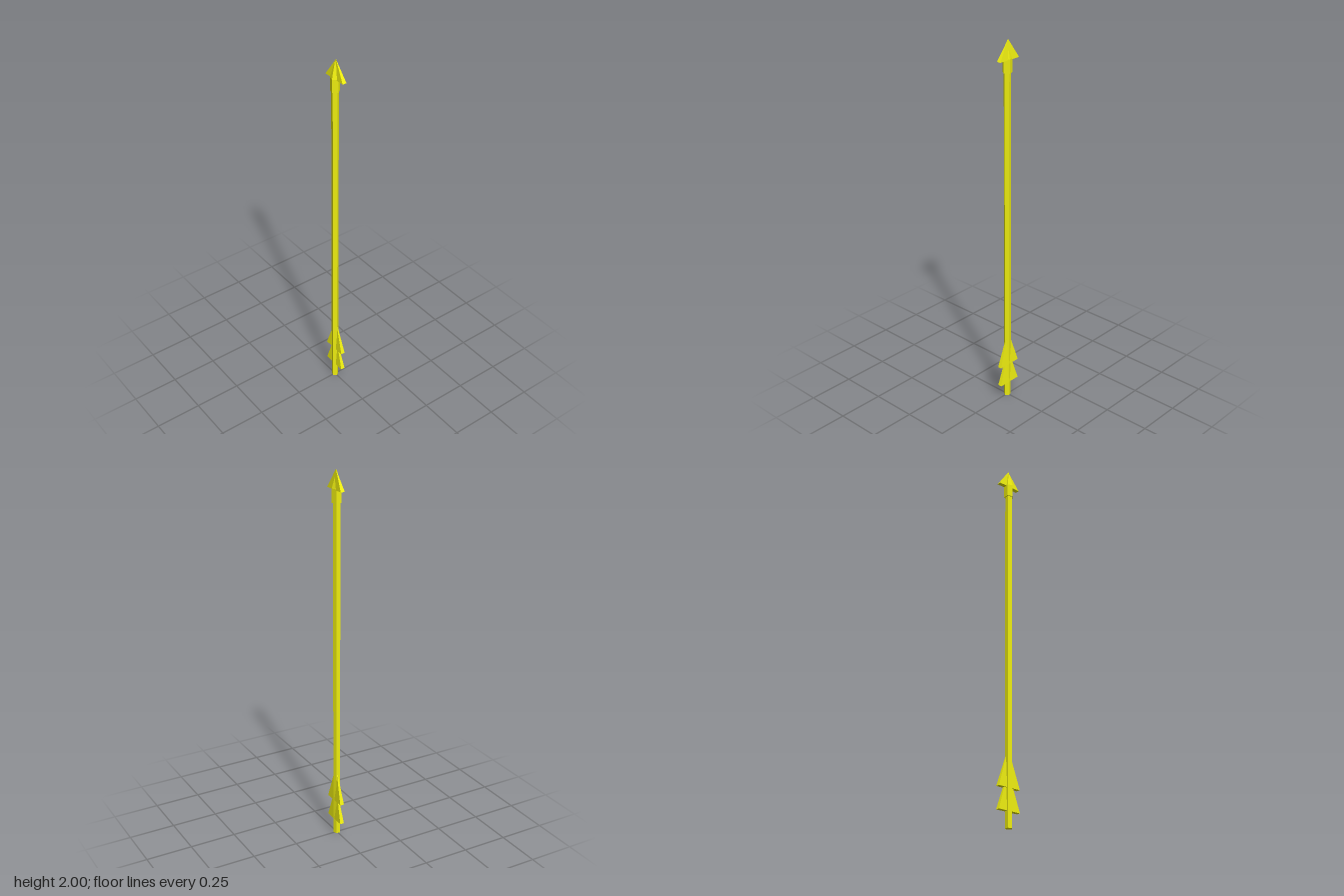
import * as THREE from 'three';

export function createModel() {
  const arrow = new THREE.Group();
  arrow.name = 'arrow';
  const yellow = new THREE.MeshStandardMaterial({ color: 0xeeee10, flatShading: true });

  const add = (name, geometry, y, z = 0) => {
    const mesh = new THREE.Mesh(geometry, yellow);
    mesh.name = name;
    mesh.position.set(0, y, z);
    arrow.add(mesh);
  };

  // five-sided bar with one corner towards +x
  const pentagon = (topRadius, bottomRadius, height) =>
    new THREE.CylinderGeometry(topRadius, bottomRadius, height, 5, 1, false, Math.PI / 2)
      .translate(0, height / 2, 0);

  // flat pyramid standing on a width x depth rectangle
  const wedge = (width, height, depth) =>
    new THREE.ConeGeometry(Math.SQRT1_2, 1, 4, 1, false, Math.PI / 4)
      .translate(0, 0.5, 0)
      .scale(width, height, depth);

  add('shaft', pentagon(0.019, 0.019, 1.86), 0);

  // head: socket, point and flat barbs
  add('headSocket', pentagon(0.025, 0.025, 0.07), 1.835);
  add('headPoint', pentagon(0, 0.025, 0.09), 1.905);
  add('headBarbs', wedge(0.132, 0.1, 0.022), 1.9, -0.005);

  // two stacked tail fletchings
  [['upperFletching', 0.2], ['lowerFletching', 0.085]].forEach(([name, y]) =>
    add(name, wedge(0.132, 0.205, 0.022), y, -0.005));

  return arrow;
}
